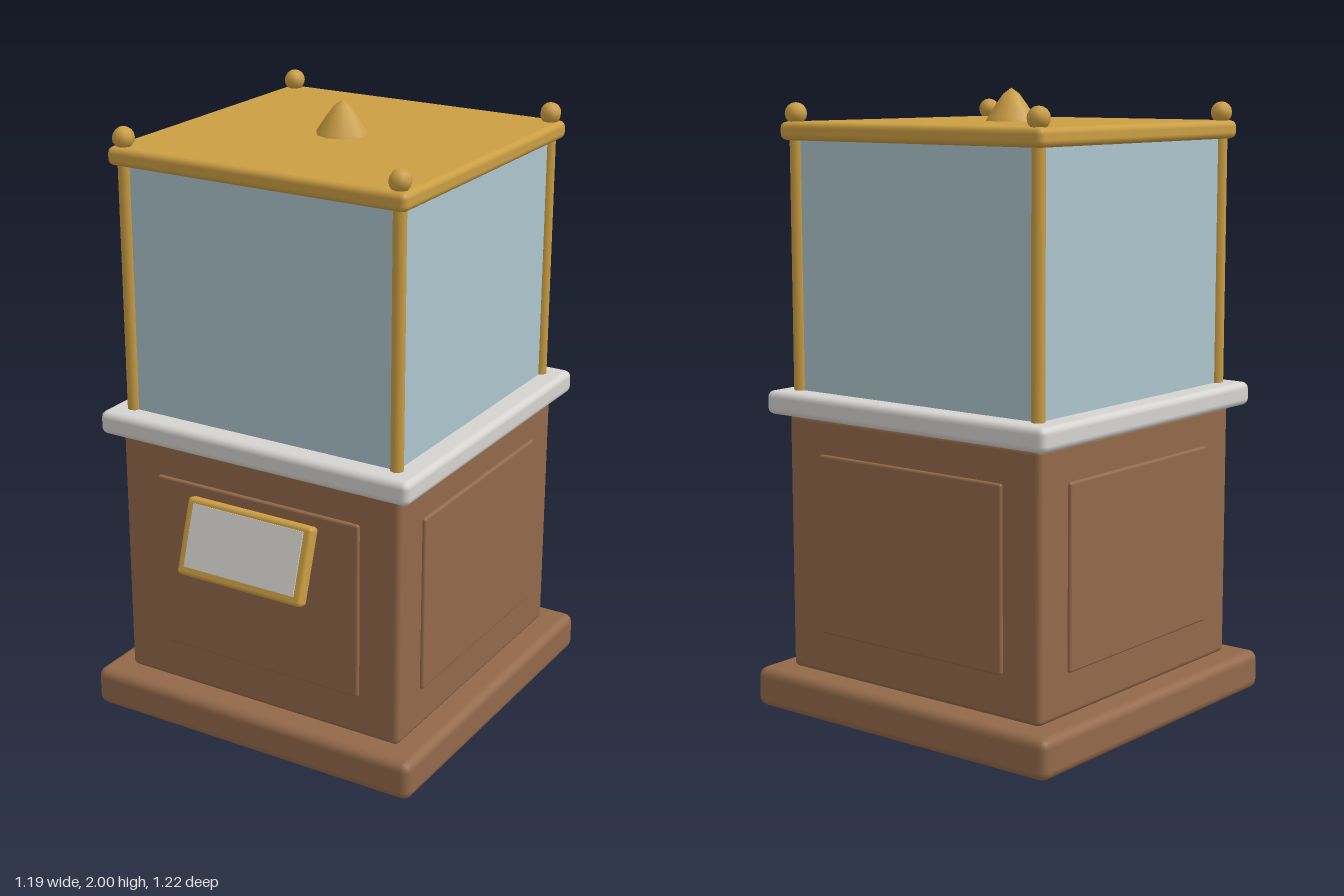
import * as THREE from 'three';
import { RoundedBoxGeometry } from 'three/addons/geometries/RoundedBoxGeometry.js';

const mat = (name, color) => Object.assign(new THREE.MeshStandardMaterial({ color }), { name });

export function createModel() {
  const wood = mat('wood', 0x93694a);
  const gold = mat('gold', 0xcb9e43);
  const metal = mat('pale metal', 0xd6d4d0);
  const glass = mat('glass', 0xacc6cd);

  const group = new THREE.Group();
  const cabinet = new THREE.Group();
  cabinet.name = 'cabinet';
  cabinet.position.z = -0.016;
  group.add(cabinet);

  const add = (name, geometry, material, x = 0, y = 0, z = 0, parent = cabinet) => {
    const mesh = new THREE.Mesh(geometry, material);
    mesh.name = name;
    mesh.position.set(x, y, z);
    parent.add(mesh);
    return mesh;
  };
  // square slab between two heights
  const slab = (name, half, y0, y1, radius, material) =>
    add(name, new RoundedBoxGeometry(half * 2, y1 - y0, half * 2, 2, radius), material, 0, (y0 + y1) / 2);

  // stacked body
  slab('base', 0.594, 0, 0.13, 0.03, wood);
  slab('body', 0.508, 0.13, 0.97, 0.018, wood);
  slab('counter', 0.56, 0.968, 1.045, 0.022, metal);
  slab('roof', 0.52, 1.838, 1.896, 0.02, gold);

  // raised panel on each side
  for (let i = 0; i < 4; i++) {
    const side = new THREE.Group();
    side.name = 'panelSide';
    side.rotation.y = (i * Math.PI) / 2;
    cabinet.add(side);
    add('panel', new RoundedBoxGeometry(0.74, 0.585, 0.03, 2, 0.008), wood, 0, 0.56, 0.504, side);
  }

  // glass case with corner posts and ball finials
  add('glassCase', new THREE.BoxGeometry(0.964, 0.8, 0.964), glass, 0, 1.443, 0);
  for (const x of [-0.48, 0.48]) {
    for (const z of [-0.48, 0.48]) {
      add('post', new THREE.CylinderGeometry(0.021, 0.021, 0.81, 8), gold, x, 1.443, z);
      add('cornerFinial', new THREE.SphereGeometry(0.035, 8, 8), gold, x, 1.921, z);
    }
  }

  // pointed finial in the middle of the roof
  const profile = [[0.086, 1.89], [0.078, 1.908], [0.05, 1.95], [0.026, 1.982], [0, 2]]
    .map(([r, y]) => new THREE.Vector2(r, y));
  add('roofFinial', new THREE.LatheGeometry(profile, 10), gold);

  // tilted flap on the front
  const flap = new THREE.Group();
  flap.name = 'flap';
  flap.position.set(0, 0.7, 0.553);
  flap.rotation.x = -0.31;
  group.add(flap);
  add('flapFrame', new RoundedBoxGeometry(0.46, 0.25, 0.044, 2, 0.014), gold, 0, 0, 0, flap);
  add('flapPlate', new THREE.BoxGeometry(0.405, 0.202, 0.008), metal, 0, 0.006, 0.022, flap);
  return group;
}
